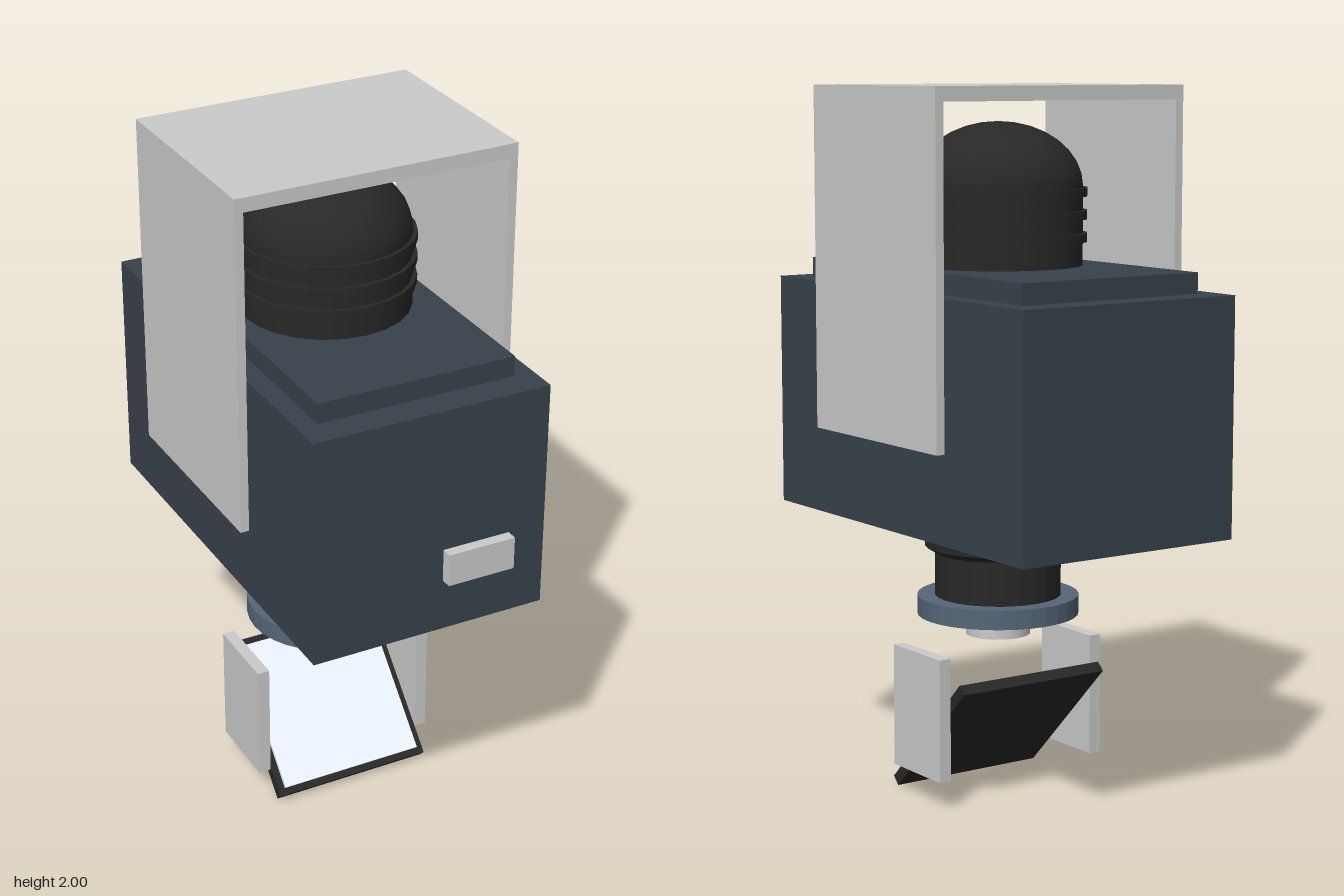
import * as THREE from 'three';

const CZ = -0.015; // depth of the vertical axis

const mat = (color, extra = {}) => new THREE.MeshStandardMaterial({ color, ...extra });
const grey = mat(0xcccccc);
const navy = mat(0x38424c);
const black = mat(0x282828);
const blackLathe = mat(0x282828, { side: THREE.DoubleSide, flatShading: true });
const steelBlue = mat(0x566678);
const silver = mat(0xeef4ff);

export function createModel() {
  const model = new THREE.Group();
  model.name = 'projector';

  const add = (name, geometry, material, x, y, z, parent = model) => {
    const mesh = new THREE.Mesh(geometry, material);
    mesh.name = name;
    mesh.position.set(x, y, z);
    parent.add(mesh);
    return mesh;
  };
  const box = (name, material, w, h, d, x, y, z, parent) =>
    add(name, new THREE.BoxGeometry(w, h, d), material, x, y, z, parent);
  const disc = (name, material, r, y0, y1, sides = 24) =>
    add(name, new THREE.CylinderGeometry(r, r, y1 - y0, sides), material, 0, (y0 + y1) / 2, CZ);
  const lathe = (name, points, material, sides = 24) =>
    add(name, new THREE.LatheGeometry(points.map(p => new THREE.Vector2(...p)), sides), material, 0, 0, CZ);

  // Housing, stepped lid and front plate
  box('housing', navy, 0.695, 0.665, 1.22, 0, 1.1125, CZ);
  box('lid', navy, 0.58, 0.06, 1.045, 0, 1.473, CZ);
  box('frontPlate', grey, 0.2, 0.095, 0.035, 0.138, 0.98, 0.61);

  // Lamp cover with rounded cap and cooling fins
  disc('lampCover', black, 0.238, 1.5, 1.72);
  const cap = add('lampCap',
    new THREE.SphereGeometry(0.238, 24, 8, 0, Math.PI * 2, 0, Math.PI / 2), black, 0, 1.72, CZ);
  cap.scale.y = 0.18 / 0.238;
  for (const y of [1.58, 1.643, 1.706]) disc('coolingFin', black, 0.25, y - 0.012, y + 0.012);

  // Yoke: one bent strap
  const yoke = new THREE.Shape();
  [[-0.41, 1.04], [-0.385, 1.04], [-0.385, 1.96], [0.385, 1.96], [0.385, 1.04], [0.41, 1.04], [0.41, 2], [-0.41, 2]]
    .forEach(([x, y], i) => (i ? yoke.lineTo(x, y) : yoke.moveTo(x, y)));
  add('yoke', new THREE.ExtrudeGeometry(yoke, { depth: 0.61, bevelEnabled: false }), grey, 0, 0, CZ - 0.305);

  // Lens barrel with a flared collar under the housing
  lathe('lensBarrel', [
    [0, 0.56], [0.18, 0.56], [0.18, 0.69], [0.208, 0.708], [0.208, 0.75], [0.1, 0.768], [0, 0.775],
  ], blackLathe);

  // Focus ring, open in the middle, with the lens nose inside
  lathe('focusRing', [
    [0.14, 0.51], [0.23, 0.51], [0.23, 0.565], [0.14, 0.565], [0.14, 0.51],
  ], mat(0x566678, { side: THREE.DoubleSide, flatShading: true }), 32);
  disc('lensSeat', grey, 0.142, 0.53, 0.56);
  disc('lensNose', grey, 0.093, 0.45, 0.54, 16);

  // Paired yoke pivots and mirror brackets
  for (const side of [-1, 1]) {
    const pivot = add('yokePivot', new THREE.CylinderGeometry(0.047, 0.047, 0.06, 16), grey, side * 0.366, 1.11, CZ);
    pivot.rotation.z = Math.PI / 2;
    box('mirrorBracket', grey, 0.036, 0.35, 0.235, side * 0.26, 0.255, CZ);
  }

  // Tilted mirror on its backing plate
  const mirror = new THREE.Group();
  mirror.name = 'tiltedMirror';
  mirror.position.set(0, 0.181, CZ);
  mirror.rotation.x = -Math.PI / 4;
  model.add(mirror);
  box('mirrorBacking', black, 0.48, 0.48, 0.032, 0, 0, 0, mirror);
  box('mirrorGlass', silver, 0.44, 0.44, 0.012, 0, 0, 0.02, mirror);

  return model;
}
